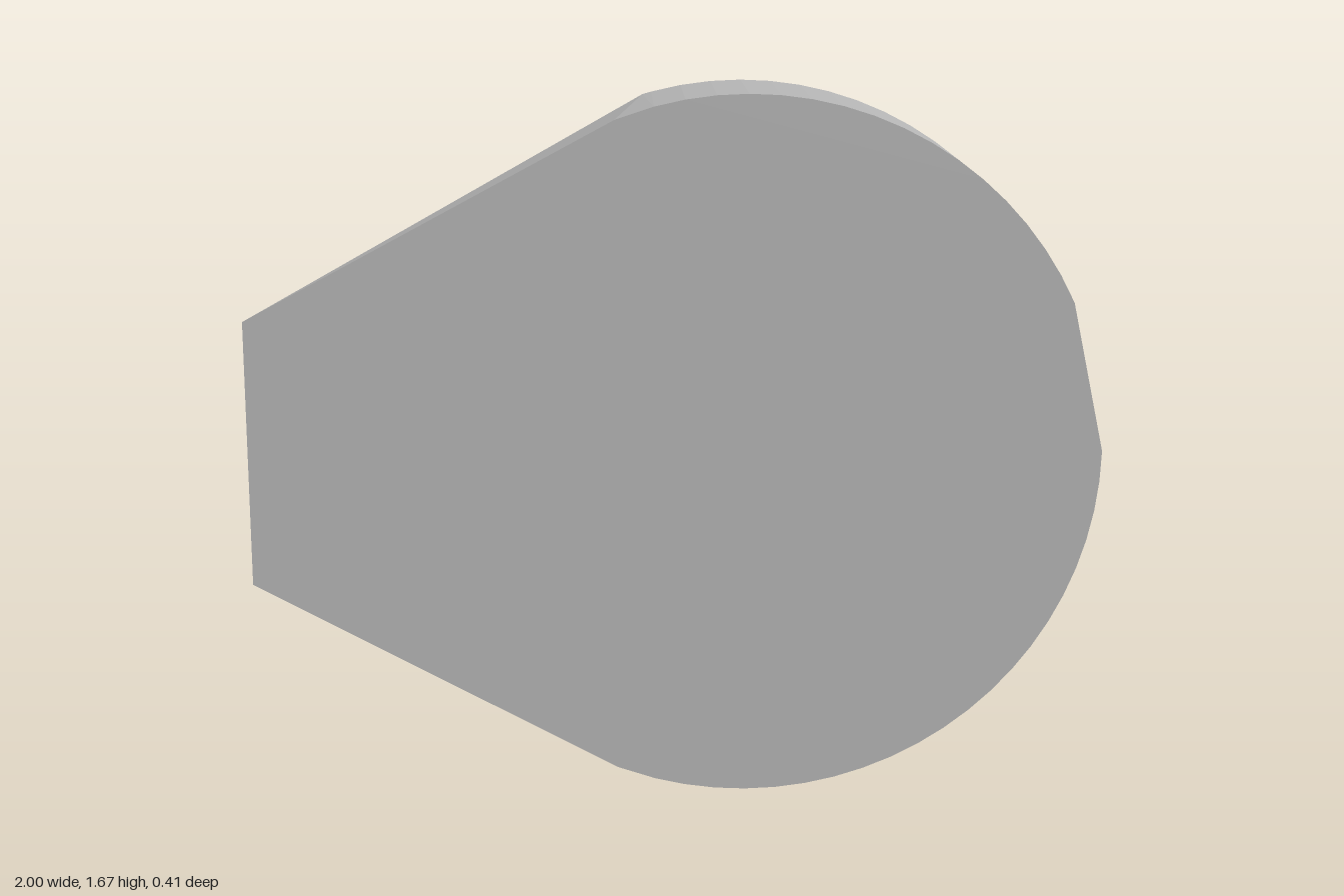
import * as THREE from 'three';
import { ConvexGeometry } from 'three/addons/geometries/ConvexGeometry.js';

const CX = 0.165, CY = 0.838, R = 0.836, HALF = 0.206;

// Rim points of one disc face, open towards the nose and with a flat on the upper +x side
function rim(z, openAngle) {
  const points = [];
  const add = (deg) => {
    const a = THREE.MathUtils.degToRad(deg);
    points.push(new THREE.Vector3(CX + R * Math.cos(a), CY + R * Math.sin(a), z));
  };
  for (let deg = -105; deg <= 105; deg += 5) {
    if (deg > 0 && deg < 25) continue; // flat on the rim
    add(deg);
  }
  add(openAngle);
  add(-openAngle);
  return points;
}

// Upper and lower corner of the nose
function nosePair(x, z) {
  return [-1, 1].map((s) => new THREE.Vector3(x, CY + 0.002 + s * 0.315, z));
}

export function createModel() {
  const group = new THREE.Group();
  group.name = 'wedgeNosedDisc';

  const grey = new THREE.MeshStandardMaterial({ color: 0xb4b4b4 });
  grey.name = 'grey';

  // Solid disc tapering to a bevelled nose
  const body = new THREE.Mesh(
    new ConvexGeometry([
      ...rim(HALF, 111.5),
      ...rim(-HALF, 106.5),
      ...nosePair(-1, HALF),
      ...nosePair(-0.61, -0.14),
    ]),
    grey
  );
  body.name = 'body';
  group.add(body);
  return group;
}
